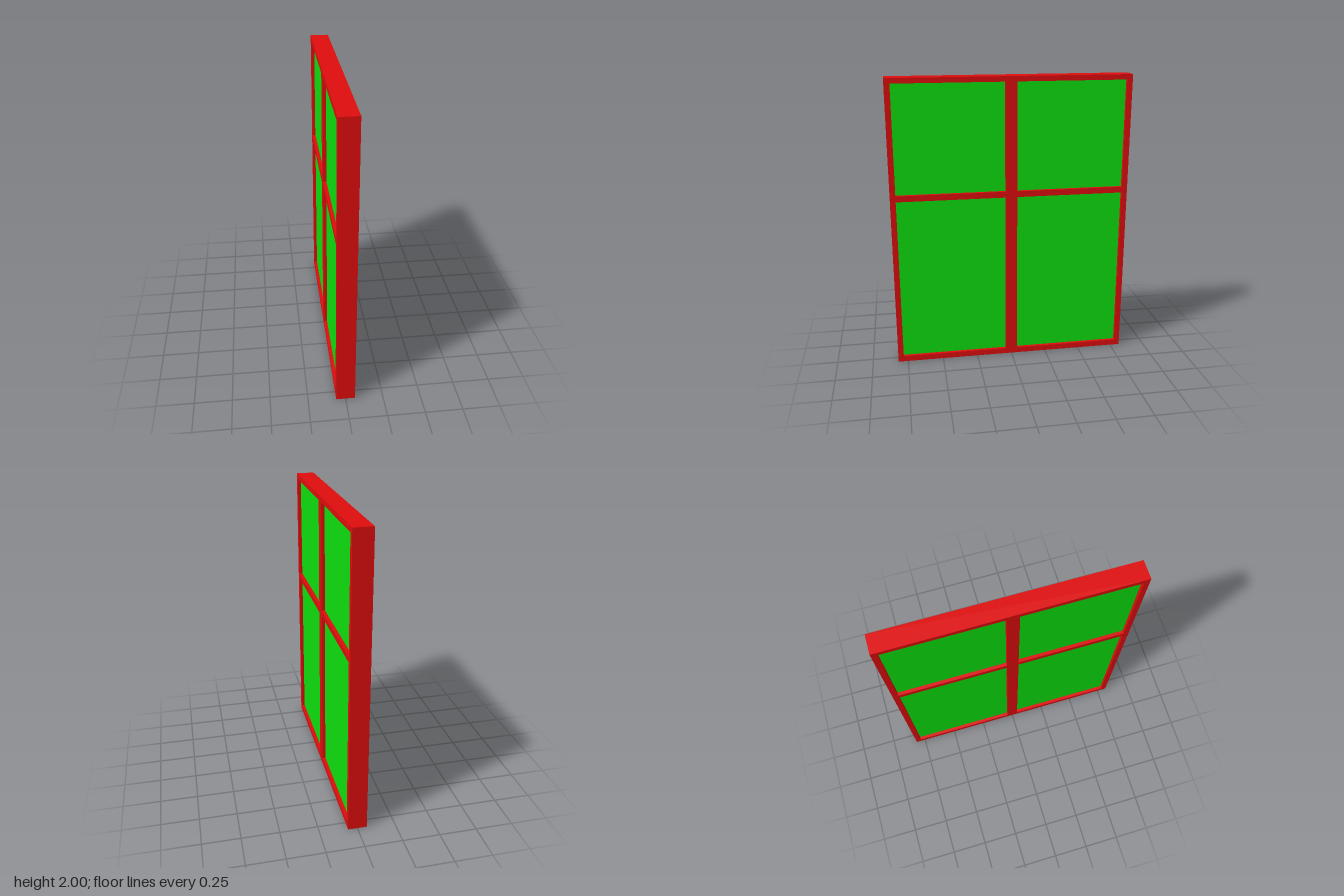
import * as THREE from 'three';

const DEPTH = 0.126, HALF_WIDTH = 0.82, HEIGHT = 2, RECESS = 0.022;

// Openings in the frame: [z min, z max, y min, y max]
const openings = [];
for (const [z0, z1] of [[-0.782, -0.04], [0.04, 0.782]]) {
  for (const [y0, y1] of [[0.04, 1.186], [1.227, 1.965]]) openings.push([z0, z1, y0, y1]);
}

function rectangle(path, [a0, a1, b0, b1]) {
  path.moveTo(a0, b0);
  path.lineTo(a1, b0);
  path.lineTo(a1, b1);
  path.lineTo(a0, b1);
  path.closePath();
  return path;
}

export function createModel() {
  const group = new THREE.Group();
  group.name = 'window';
  const red = new THREE.MeshStandardMaterial({ color: 0xe00d0d });
  const green = new THREE.MeshStandardMaterial({ color: 0x0de00d });

  // Frame with mullion and transom, cut as one slab with four openings
  const outline = rectangle(new THREE.Shape(), [-HALF_WIDTH, HALF_WIDTH, 0, HEIGHT]);
  for (const o of openings) outline.holes.push(rectangle(new THREE.Path(), o));
  const frameGeometry = new THREE.ExtrudeGeometry(outline, { depth: DEPTH, bevelEnabled: false });
  frameGeometry.translate(0, 0, -DEPTH / 2).rotateY(-Math.PI / 2);
  const frame = new THREE.Mesh(frameGeometry, red);
  frame.name = 'frame';
  group.add(frame);

  // Panes, set back from both faces of the frame
  const panes = new THREE.Group();
  panes.name = 'panes';
  for (const [z0, z1, y0, y1] of openings) {
    const pane = new THREE.Mesh(new THREE.BoxGeometry(DEPTH - 2 * RECESS, y1 - y0, z1 - z0), green);
    pane.position.set(0, (y0 + y1) / 2, (z0 + z1) / 2);
    pane.name = 'pane';
    panes.add(pane);
  }
  group.add(panes);
  return group;
}
